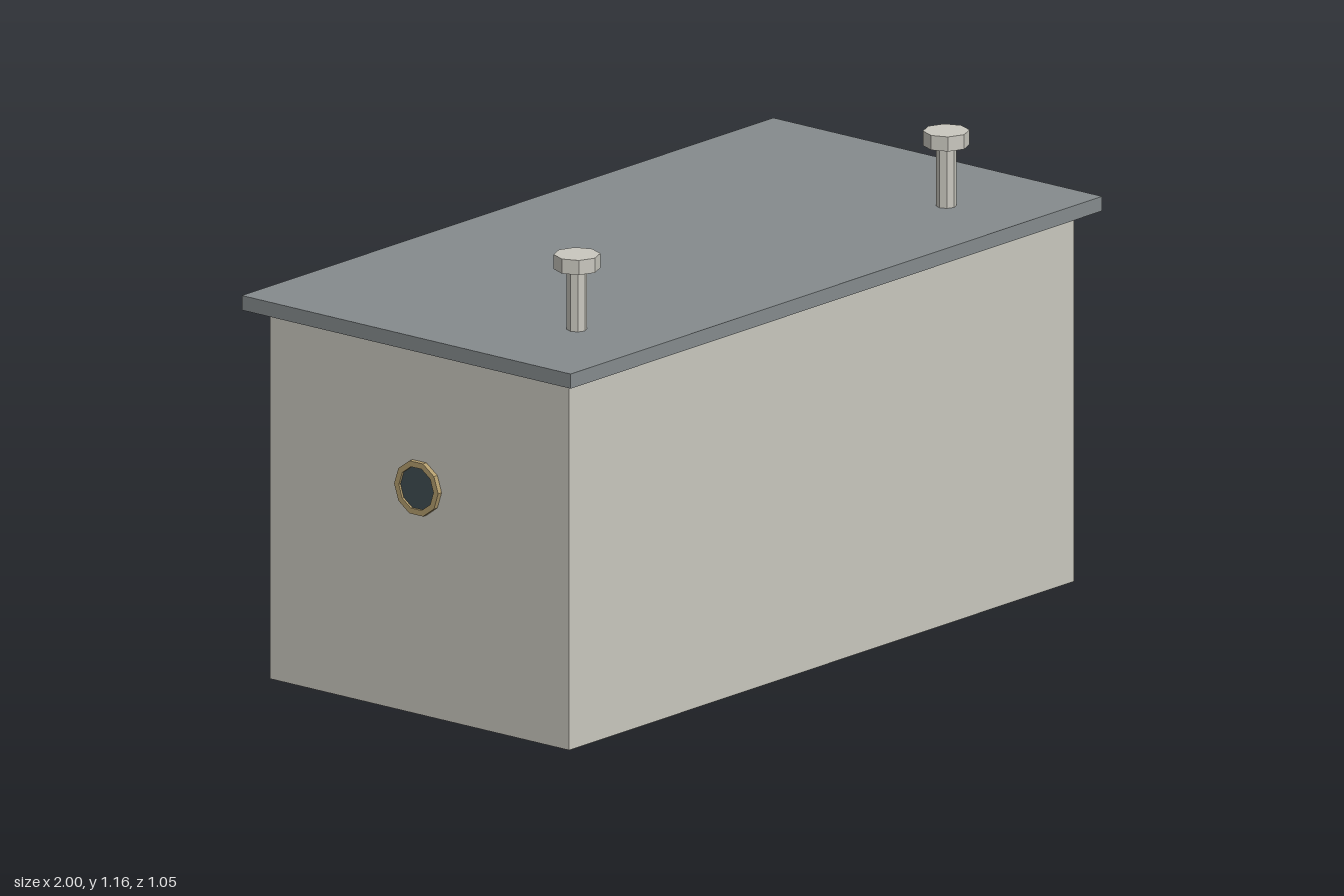
import * as THREE from 'three';

const mat = (color) => new THREE.MeshStandardMaterial({ color, flatShading: true });
const WALL = mat(0xc9c7be), ROOF = mat(0x858b8d), TAN = mat(0xb39d6e);
const PANEL = mat(0xcdb382), GLASS = mat(0x3f4d52), DARK = mat(0x333335);

export function createModel() {
  const model = new THREE.Group();
  model.name = 'utilityBuilding';

  const add = (name, geometry, material, x, y, z) => {
    const mesh = new THREE.Mesh(geometry, material);
    mesh.name = name;
    mesh.position.set(x, y, z);
    model.add(mesh);
    return mesh;
  };
  // Box given by its min and max along each axis
  const box = (name, material, x0, x1, y0, y1, z0, z1) =>
    add(name, new THREE.BoxGeometry(x1 - x0, y1 - y0, z1 - z0), material,
      (x0 + x1) / 2, (y0 + y1) / 2, (z0 + z1) / 2);

  // Shell
  box('walls', WALL, -0.95, 0.95, 0, 0.936, -0.476, 0.476);
  box('roofSlab', ROOF, -1, 1, 0.936, 0.973, -0.523, 0.523);

  // Door frame and sign plate on the back wall
  for (const s of [-1, 1]) {
    const a = s * 0.33, b = s * 0.282;
    box('doorPost', ROOF, Math.min(a, b), Math.max(a, b), 0, 0.81, -0.499, -0.476);
  }
  box('doorLintel', ROOF, -0.282, 0.282, 0.762, 0.81, -0.499, -0.476);
  box('signPlate', DARK, -0.13, 0.13, 0.835, 0.908, -0.485, -0.476);

  // Ten-sided porthole ring, drawn flat and pushed out from the wall
  const polygon = (radius) => Array.from({ length: 10 }, (_, i) =>
    new THREE.Vector2(radius * Math.cos(i * Math.PI / 5), radius * Math.sin(i * Math.PI / 5)));
  const ringShape = new THREE.Shape(polygon(0.07));
  ringShape.holes.push(new THREE.Path(polygon(0.055)));
  const ringGeometry = new THREE.ExtrudeGeometry(ringShape, { depth: 0.013, bevelEnabled: false });

  for (const s of [-1, 1]) {
    // Shuttered window with a bar above and below
    const x = s * 0.6;
    box('windowPanel', PANEL, x - 0.135, x + 0.135, 0.46, 0.655, -0.479, -0.475);
    for (const y of [0.46, 0.655]) {
      box('windowBar', WALL, x - 0.147, x + 0.147, y - 0.0075, y + 0.0075, -0.492, -0.476);
    }

    // Porthole on the side wall
    add('portholeRing', ringGeometry, TAN, s * 0.95, 0.575, 0).rotation.y = s * Math.PI / 2;
    add('portholeGlass', new THREE.CylinderGeometry(0.055, 0.055, 0.008, 10), GLASS,
      s * 0.953, 0.575, 0).rotation.z = Math.PI / 2;

    // Roof vent
    add('ventPipe', new THREE.CylinderGeometry(0.025, 0.025, 0.16, 8), WALL, s * 0.695, 1.05, 0.285);
    add('ventCap', new THREE.CylinderGeometry(0.057, 0.057, 0.037, 8), WALL, s * 0.695, 1.145, 0.285);
  }
  return model;
}
